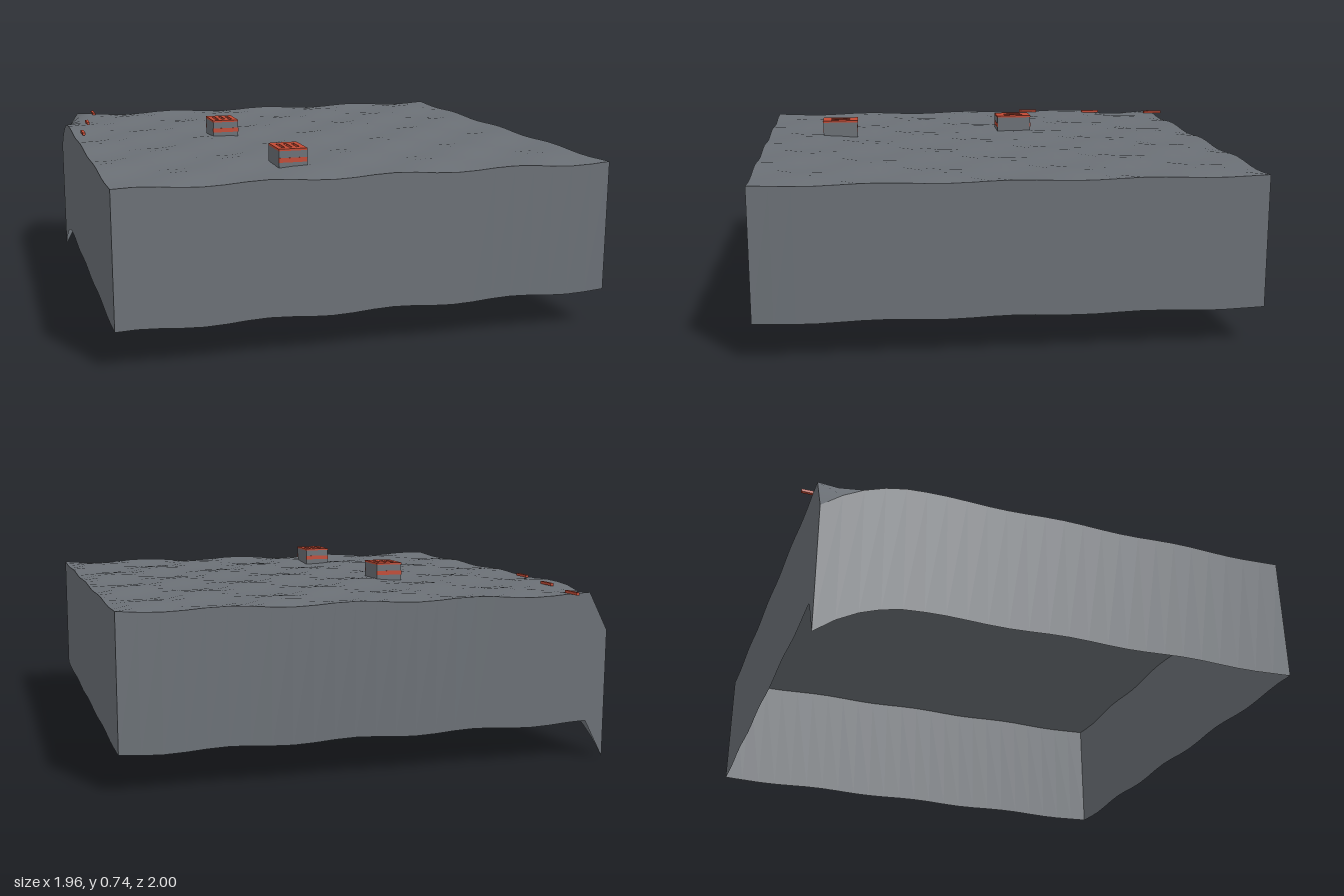
import * as THREE from 'three';

const X0 = -0.98, X1 = 0.975, Z0 = -0.955, Z1 = 1;
const CELLS = 24, SKIRT = 0.52;

// Gently rippled ground that falls away at the back corner
function groundHeight(x, z) {
  const ripple = 0.008 * Math.sin((x - 0.08) * 12.82 + Math.PI / 2) * Math.cos((z - 0.02) * 12.2);
  const d = Math.max(0, (-0.6 - z) / 0.355 - (x - X0) / 0.0815);
  return 0.676 + ripple * (1 - Math.min(1, d)) - 0.148 * d * d;
}

export function createModel() {
  const model = new THREE.Group();
  const grey = new THREE.MeshStandardMaterial({ color: 0x6b7076, side: THREE.DoubleSide });
  grey.name = 'concreteGrey';
  const red = new THREE.MeshStandardMaterial({ color: 0xc24a34 });
  red.name = 'rustRed';

  function add(parent, name, geometry, material, x = 0, y = 0, z = 0) {
    const mesh = new THREE.Mesh(geometry, material);
    mesh.name = name;
    mesh.position.set(x, y, z);
    parent.add(mesh);
    return mesh;
  }

  // Ground surface
  const ground = new THREE.PlaneGeometry(X1 - X0, Z1 - Z0, CELLS, CELLS);
  ground.rotateX(-Math.PI / 2);
  ground.translate((X0 + X1) / 2, 0, (Z0 + Z1) / 2);
  const gp = ground.attributes.position;
  for (let i = 0; i < gp.count; i++) gp.setY(i, groundHeight(gp.getX(i), gp.getZ(i)));
  ground.computeVertexNormals();
  add(model, 'ground', ground, grey);

  // Four open skirts hanging from the ground's edges, wound to face outwards
  const corners = [[X0, Z1], [X1, Z1], [X1, Z0], [X0, Z0]];
  ['front', 'left', 'back', 'right'].forEach((side, k) => {
    const [ax, az] = corners[k], [bx, bz] = corners[(k + 1) % 4];
    const skirt = new THREE.PlaneGeometry(1, 1, CELLS, 1);
    const p = skirt.attributes.position;
    for (let i = 0; i < p.count; i++) {
      const t = p.getX(i) + 0.5;
      const x = ax + (bx - ax) * t, z = az + (bz - az) * t;
      p.setXYZ(i, x, groundHeight(x, z) - (p.getY(i) > 0 ? 0 : SKIRT), z);
    }
    skirt.computeVertexNormals();
    add(model, side + 'Skirt', skirt, grey);
  });

  // Rooftop vents: grey body, slotted lid and red trim
  const W = 0.115, D = 0.158;
  function rect(path, x, y, w, h) {
    path.moveTo(x - w / 2, y - h / 2);
    path.lineTo(x + w / 2, y - h / 2);
    path.lineTo(x + w / 2, y + h / 2);
    path.lineTo(x - w / 2, y + h / 2);
    path.closePath();
    return path;
  }
  const lidShape = rect(new THREE.Shape(), 0, 0, W, D);
  for (const x of [-0.03, 0, 0.03]) lidShape.holes.push(rect(new THREE.Path(), x, 0, 0.013, 0.085));
  const lidGeometry = new THREE.ExtrudeGeometry(lidShape, { depth: 0.008, bevelEnabled: false });
  lidGeometry.rotateX(-Math.PI / 2);

  for (const [x, z] of [[-0.328, -0.142], [-0.247, 0.673]]) {
    const vent = new THREE.Group();
    vent.name = 'roofVent';
    vent.position.set(x, 0, z);
    add(vent, 'ventBody', new THREE.BoxGeometry(W - 0.002, 0.073, D - 0.002), grey, 0, 0.7035, 0);
    add(vent, 'ventLid', lidGeometry, red, 0, 0.74, 0);
    for (const s of [-1, 1]) {
      add(vent, 'ventTrim', new THREE.BoxGeometry(W, 0.018, 0.003), red, 0, 0.704, s * (D / 2 - 0.001));
    }
    model.add(vent);
  }

  // Marker bars beside the fallen corner
  for (const [x, z] of [[-0.937, -0.305], [-0.883, -0.632], [-0.82, -0.955]]) {
    add(model, 'markerBar', new THREE.BoxGeometry(0.013, 0.011, 0.09), red, x, 0.683, z);
  }
  return model;
}
